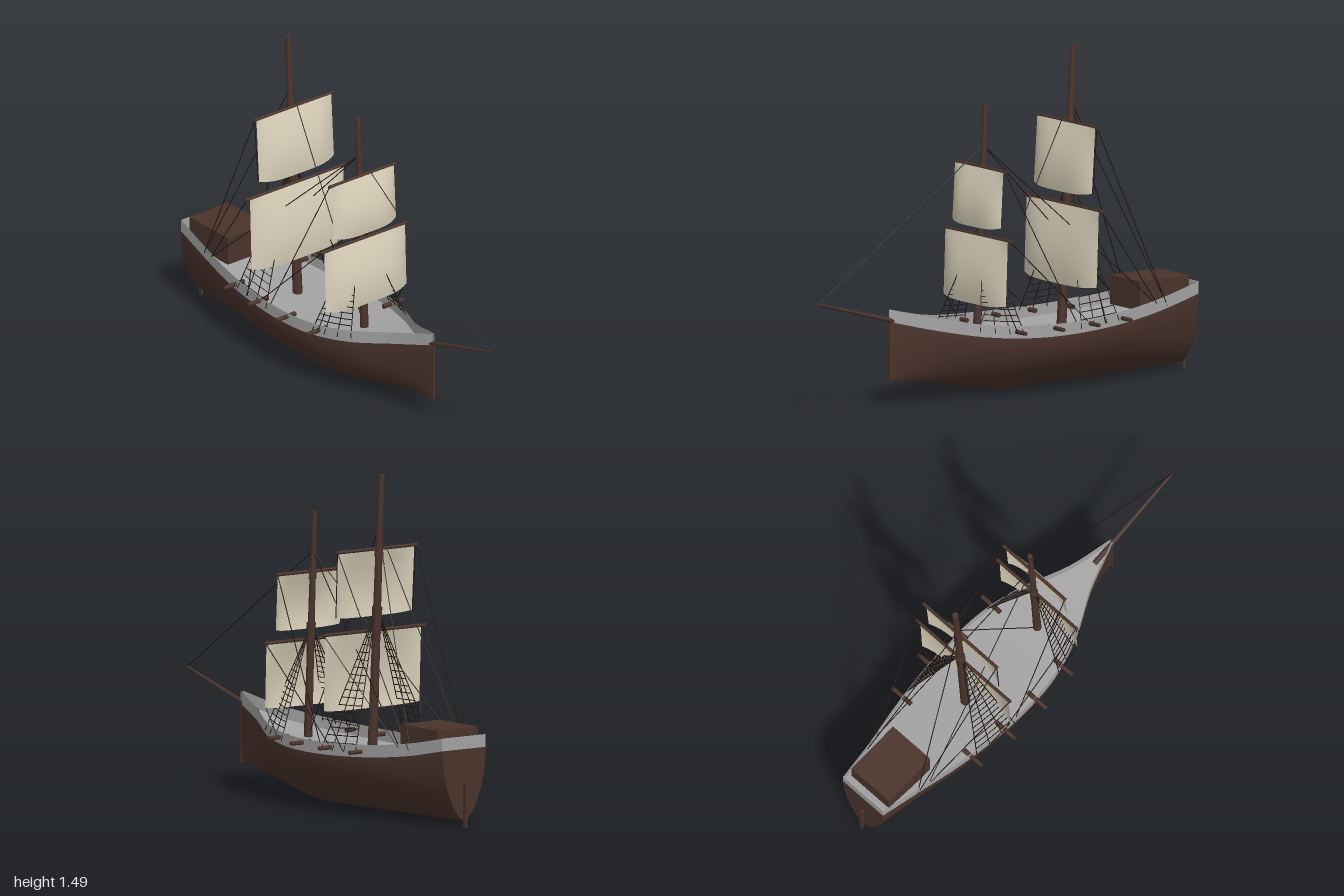
import * as THREE from 'three';
import { mergeGeometries } from 'three/addons/utils/BufferGeometryUtils.js';
import { ParametricGeometry } from 'three/addons/geometries/ParametricGeometry.js';

const STERN = -0.98, BOW = 0.61, LEN = BOW - STERN, RAIL = 0.055;

// Hull lines, sampled at nine evenly spaced stations from stern to bow
const stations = Array.from({ length: 9 }, (_, i) => STERN + (LEN * i) / 8);
const line = (values) => {
  const spline = new THREE.CubicInterpolant(stations, values, 1);
  return (x) => spline.evaluate(x)[0];
};
const beam = line([0.118, 0.15, 0.188, 0.215, 0.226, 0.215, 0.16, 0.066, 0.005]);
const sheer = line([0.345, 0.305, 0.28, 0.266, 0.26, 0.265, 0.283, 0.32, 0.37]);
const keel = (x) => x < 0
  ? 0.01 - 0.02 * x
  : 0.01 + 0.1 * THREE.MathUtils.smoothstep(x, -0.05, 0.64);
const sectionWidth = (x, t) => beam(x) * Math.pow(1 - (1 - t) ** 2, 0.68);

const V = (x, y, z) => new THREE.Vector3(x, y, z);

// Tapered round bar between two points
function bar(a, b, r0, r1 = r0, sides = 5) {
  const dir = b.clone().sub(a);
  const geo = new THREE.CylinderGeometry(r1, r0, dir.length(), sides);
  geo.applyQuaternion(new THREE.Quaternion().setFromUnitVectors(V(0, 1, 0), dir.normalize()));
  const mid = a.clone().lerp(b, 0.5);
  return geo.translate(mid.x, mid.y, mid.z);
}

export function createModel() {
  const ship = new THREE.Group();
  ship.name = 'sailingShip';

  const material = (name, color, side = THREE.FrontSide) => {
    const m = new THREE.MeshStandardMaterial({ color, side });
    m.name = name;
    return m;
  };
  const wood = material('darkWood', 0x4a332b, THREE.DoubleSide);
  const grey = material('greyPlanking', 0xa3a3a3, THREE.DoubleSide);
  const cloth = material('sailCloth', 0xd8cfb8, THREE.DoubleSide);
  const tar = material('tarredRope', 0x211714);

  const add = (name, geometry, mat, parent = ship) => {
    const mesh = new THREE.Mesh(geometry, mat);
    mesh.name = name;
    parent.add(mesh);
    return mesh;
  };
  const box = (name, w, h, d, x, y, z, mat = wood) =>
    add(name, new THREE.BoxGeometry(w, h, d).translate(x, y, z), mat);

  // Hull shell, lofted from gunwale to gunwale around the keel
  add('hull', new ParametricGeometry((u, v, p) => {
    const x = STERN + LEN * u, s = 2 * v - 1;
    const t = Math.abs(s) ** 1.5;
    p.set(x, THREE.MathUtils.lerp(keel(x), sheer(x), t), Math.sign(s) * sectionWidth(x, t));
  }, 48, 32), wood);
  add('transom', new ParametricGeometry((u, v, p) => {
    const t = v ** 1.5;
    p.set(STERN, THREE.MathUtils.lerp(keel(STERN), sheer(STERN), t), (2 * u - 1) * sectionWidth(STERN, t));
  }, 2, 14), wood);
  add('deck', new ParametricGeometry((u, v, p) => {
    const x = STERN + LEN * u;
    p.set(x, sheer(x) + 0.002, (1 - 2 * v) * beam(x));
  }, 40, 2), grey);

  // Bulwarks rising above the deck edge
  for (const s of [1, -1]) {
    add(s > 0 ? 'leftBulwark' : 'rightBulwark', new ParametricGeometry((u, v, p) => {
      const x = s > 0 ? STERN + LEN * u : BOW - LEN * u;
      p.set(x, sheer(x) + RAIL * v, s * beam(x));
    }, 40, 1), grey);
  }
  box('sternBulwark', 0.006, RAIL, 0.236, STERN + 0.003, 0.345 + RAIL / 2, 0, grey);
  box('stem', 0.008, 0.26, 0.012, BOW, 0.24, 0);
  box('rudder', 0.016, 0.2, 0.012, STERN - 0.008, 0.1, 0);
  box('cabin', 0.265, 0.13, 0.22, -0.802, 0.365, 0);
  add('bowsprit', bar(V(0.5, 0.347, 0), V(0.997, 0.487, 0), 0.013, 0.005, 8), wood);

  // Guns along both sides
  for (const x of [-0.505, -0.315, -0.12, 0.07]) {
    for (const s of [1, -1]) {
      const z = beam(x) + 0.065;
      add('cannon', bar(V(x, 0.298, s * (z - 0.11)), V(x, 0.298, s * z), 0.011, 0.009, 10), wood);
    }
  }

  // Square sail hanging from its yard and bellying forward
  function squareSail(parent, x, top, bottom, half, yardHalf, drift, belly) {
    add('yard', bar(V(x, top, -yardHalf), V(x, top, yardHalf), 0.0075, 0.0075, 8), wood, parent);
    add('sail', new ParametricGeometry((u, v, p) => {
      const across = 1 - (2 * u - 1) ** 4;
      const down = Math.sin(v * Math.PI * 0.72);
      p.set(x + 0.006 + drift * v + belly * across * down,
        THREE.MathUtils.lerp(top, bottom, v) - 0.012 * across * v,
        (1 - 2 * u) * half);
    }, 18, 14), cloth, parent);
  }

  // Mast with sails and shrouds
  function mast(name, cfg) {
    const g = new THREE.Group();
    g.name = name;
    ship.add(g);
    const at = (y) => cfg.foot.clone().lerp(cfg.head, (y - cfg.foot.y) / (cfg.head.y - cfg.foot.y));
    add('mastPole', bar(cfg.foot, cfg.head, cfg.r0, cfg.r1, 12), wood, g);
    add('mastDoubling', bar(at(cfg.apex - 0.12), at(cfg.apex + 0.03), cfg.r0 * 0.85, cfg.r0 * 1.05, 10), wood, g);
    add('upperDoubling', bar(at(cfg.sails[0][0] - 0.03), at(cfg.sails[0][0] + 0.05), cfg.r1 * 1.5, cfg.r1, 10), wood, g);
    for (const [top, bottom, half, yardHalf, drift] of cfg.sails) {
      squareSail(g, at(top).x + 0.016, top, bottom, half, yardHalf, drift, 0.036);
    }

    // Shrouds fan to the deck edge; ratlines step between them
    const parts = [];
    for (const s of [1, -1]) {
      const feet = [0, 1, 2, 3].map((i) => {
        const x = THREE.MathUtils.lerp(cfg.base[0], cfg.base[1], i / 3);
        return V(x, sheer(x) + 0.02, s * (beam(x) + 0.008));
      });
      const peak = at(cfg.apex).add(V(0, 0, s * 0.012));
      for (const f of feet) parts.push(bar(f, peak, 0.0022));
      for (let k = 0.06; k < 0.86; k += 0.055) {
        const rung = feet.map((f) => f.clone().lerp(peak, k));
        for (let i = 0; i < 3; i++) parts.push(bar(rung[i], rung[i + 1], 0.002, 0.002, 4));
      }
    }
    add('shrouds', mergeGeometries(parts), tar, g);
  }

  // Each sail: top, bottom, half width, yard half length, drift of the foot
  mast('mainMast', {
    foot: V(-0.324, 0.25, 0), head: V(-0.39, 1.485, 0), r0: 0.022, r1: 0.0135,
    apex: 0.87, base: [-0.48, -0.26],
    sails: [[1.155, 0.865, 0.21, 0.22, 0.018], [0.795, 0.46, 0.262, 0.28, 0.012]],
  });
  mast('foreMast', {
    foot: V(0.136, 0.25, 0), head: V(0.088, 1.272, 0), r0: 0.019, r1: 0.0115,
    apex: 0.75, base: [0.04, 0.235],
    sails: [[1.003, 0.757, 0.175, 0.185, 0.014], [0.705, 0.42, 0.226, 0.24, 0.01]],
  });

  // Stays on the centreline, backstays and braces mirrored
  const ropes = [
    [V(0.1, 1.095, 0), V(0.995, 0.487, 0)],
    [V(-0.37, 1.25, 0), V(0.12, 0.3, 0)],
  ];
  for (const s of [1, -1]) {
    ropes.push(
      [V(-0.37, 1.25, 0), V(-0.79, 0.315, s * 0.148)],
      [V(-0.356, 1.155, s * 0.215), V(-0.78, 0.33, s * 0.152)],
      [V(-0.336, 0.795, s * 0.275), V(-0.72, 0.335, s * 0.162)],
      [V(0.1, 1.095, 0), V(-0.72, 0.335, s * 0.155)],
      [V(0.117, 1.003, s * 0.18), V(-0.24, 0.31, s * 0.222)],
      [V(0.131, 0.705, s * 0.235), V(-0.3, 0.31, s * 0.222)],
      [V(-0.356, 1.155, s * 0.215), V(-0.338, 0.865, s * 0.21)],
      [V(-0.324, 0.46, s * 0.262), V(-0.4, 0.29, s * 0.22)],
      [V(0.141, 0.42, s * 0.226), V(0.07, 0.29, s * 0.212)],
    );
  }
  add('rigging', mergeGeometries(ropes.map(([a, b]) => bar(a, b, 0.0022))), tar);

  return ship;
}
